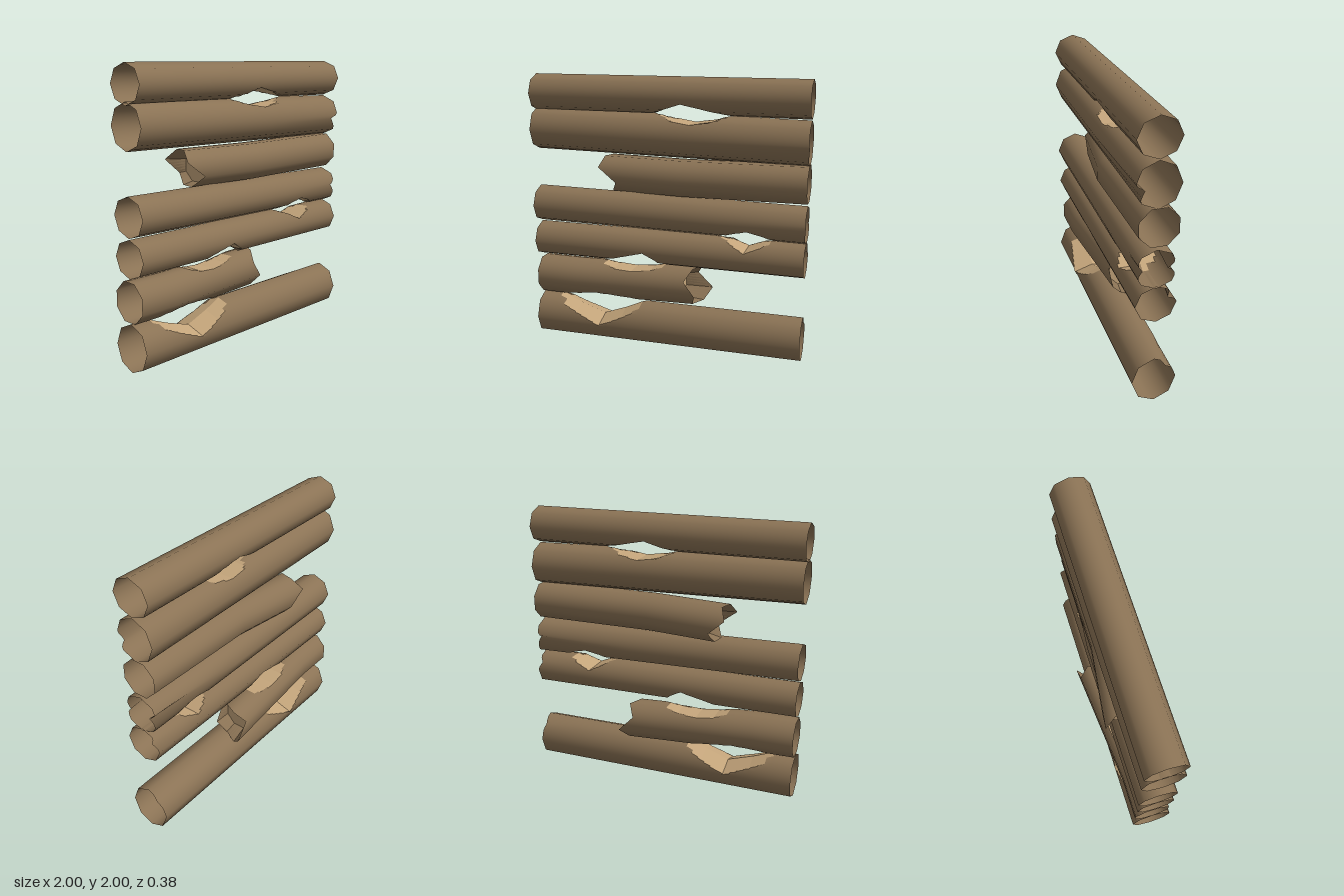
import * as THREE from 'three';

const bark = new THREE.MeshStandardMaterial({ color: 0x8b7355, side: THREE.DoubleSide });
bark.name = 'bark';
const wood = new THREE.MeshStandardMaterial({ color: 0xc4a57b, side: THREE.DoubleSide });
wood.name = 'cutWood';

const SIDES = 8, SUB = 5, N = SIDES * SUB, W = N + 1;
const { degToRad, lerp, clamp } = THREE.MathUtils;

// bite across a log: from the edge height at x0 and x1 to the tip height at xt
function bite(x0, xt, x1, edge, tip, fullness = 0.55) {
  const corners = [x0, (x0 + xt) / 2, xt, (xt + x1) / 2, x1];
  const depth = [0, fullness, 1, fullness, 0];
  const height = (x) => {
    if (x <= x0 || x >= x1) return null;
    const i = corners.findIndex((c) => c >= x) - 1;
    const f = (x - corners[i]) / (corners[i + 1] - corners[i]);
    return lerp(edge, tip, lerp(depth[i], depth[i + 1], f));
  };
  return { corners, height };
}

function makeMesh(name, pos, normals, index, material) {
  let g = new THREE.BufferGeometry();
  g.setAttribute('position', new THREE.Float32BufferAttribute(pos, 3));
  if (normals) g.setAttribute('normal', new THREE.Float32BufferAttribute(normals, 3));
  g.setIndex(index);
  if (!normals) {
    g = g.toNonIndexed();
    g.computeVertexNormals();
  }
  const mesh = new THREE.Mesh(g, material);
  mesh.name = name;
  return mesh;
}

// hollow eight-sided log along x, bitten from above and below, possibly snapped at one end
function makeLog(name, { left, right, ry, rz = 0.142, z = 0.04, top, bottom, crown = 0,
  dents = [], jag, snap = 0, leanFrom = 0, lean = 0 }) {
  const group = new THREE.Group();
  group.name = name;
  const centreY = (x) => lerp(left, right, (x + 1) / 2);
  const centreZ = (x) => z - lean * Math.max(0, snap * (x - leanFrom));

  // octagon outline: angle 0 is up, a quarter turn is the front
  const ring = [];
  for (let j = 0; j <= N; j++) {
    const k = Math.floor(j / SUB), f = (j % SUB) / SUB;
    const a0 = (k + (snap ? 0.5 : 0)) * Math.PI / 4, a1 = a0 + Math.PI / 4;
    ring.push({
      c: lerp(Math.cos(a0), Math.cos(a1), f),
      s: lerp(Math.sin(a0), Math.sin(a1), f),
      a: lerp(a0, a1, f),
      end: snap ? lerp(jag[k % SIDES], jag[(k + 1) % SIDES], f) : 0,
    });
  }

  // surface point, and whether it lies on a cut
  function point(x, p, scale = 1) {
    let r = scale, cut = false;
    for (const d of dents) {
      const off = p.a - degToRad(d.angle);
      const near = Math.max(0, 1 - Math.abs(off) / degToRad(22));
      r -= d.depth * near * clamp((x - d.from) / (1 - d.from), 0, 1);
    }
    let y = centreY(x) + p.c * ry * r;
    const high = top?.height(x) ?? Infinity, low = bottom?.height(x) ?? -Infinity;
    const ceiling = high - crown * Math.abs(p.s);
    if (y > ceiling) { y = ceiling; cut = true; }
    if (y < low) { y = low; cut = true; }
    return { xyz: [x, y, centreZ(x) + p.s * rz * r], cut };
  }

  // cross-sections, including every corner of the bites
  const xs = [...(top?.corners ?? []), ...(bottom?.corners ?? [])];
  for (let i = 0; i <= 40; i++) xs.push(-1 + i * 0.05);
  xs.sort((a, b) => a - b);

  const pos = [], normals = [], cuts = [], px = [], barkIndex = [], cutIndex = [];
  for (const x0 of xs) {
    for (const p of ring) {
      const x = snap > 0 ? Math.min(x0, p.end) : snap < 0 ? Math.max(x0, p.end) : x0;
      const q = point(x, p);
      pos.push(...q.xyz);
      normals.push(0, Math.cos(p.a), Math.sin(p.a));
      cuts.push(q.cut);
      px.push(x);
    }
  }
  for (let i = 0; i < xs.length - 1; i++) {
    for (let j = 0; j < N; j++) {
      const a = i * W + j, b = a + 1, c = b + W, d = a + W;
      if (px[a] === px[d] && px[b] === px[c]) continue;
      const cut = [a, b, c, d].every((v) => cuts[v]);
      (cut ? cutIndex : barkIndex).push(a, b, c, a, c, d);
    }
  }
  group.add(makeMesh('barkTube', pos, normals, barkIndex, bark));
  if (cutIndex.length) group.add(makeMesh('cutFaces', pos, null, cutIndex, wood));

  // splintered end: bark funnel running in to a pale core
  if (snap) {
    const coreX = snap > 0 ? Math.min(...jag) - 0.04 : Math.max(...jag) + 0.04;
    const fp = [], funnel = [], core = [];
    for (const p of ring) fp.push(...point(p.end, p).xyz);
    for (const p of ring) fp.push(...point(coreX, p, 0.84).xyz);
    fp.push(coreX, centreY(coreX), centreZ(coreX));
    for (let j = 0; j < N; j++) {
      const a = j, b = j + 1, c = b + W, d = a + W;
      if (snap > 0) { funnel.push(a, b, c, a, c, d); core.push(d, c, 2 * W); }
      else { funnel.push(a, c, b, a, d, c); core.push(c, d, 2 * W); }
    }
    group.add(makeMesh('splinteredRim', fp, null, funnel, bark));
    group.add(makeMesh('brokenCore', fp, null, core, wood));
  }
  return group;
}

export function createModel() {
  const model = new THREE.Group();
  model.name = 'brokenLogWall';

  model.add(makeLog('topLog', {
    left: 1.87, right: 1.868, ry: 0.132, bottom: bite(-0.13, 0.12, 0.49, 1.73, 1.82),
  }));
  model.add(makeLog('secondLog', {
    left: 1.61, right: 1.575, ry: 0.155, rz: 0.148,
    top: bite(-0.13, 0.18, 0.49, 1.76, 1.68, 0.7),
    dents: [{ angle: 105, depth: 0.4, from: 0.2 }],
  }));
  model.add(makeLog('upperBrokenLog', {
    left: 1.285, right: 1.295, ry: 0.138, rz: 0.14, z: 0.03,
    snap: -1, leanFrom: 0.1, lean: 0.13,
    jag: [-0.49, -0.52, -0.38, -0.43, -0.41, -0.38, -0.5, -0.46],
  }));
  model.add(makeLog('middleLog', {
    left: 1.04, right: 1.01, ry: 0.136, bottom: bite(0.35, 0.6, 0.83, 0.87, 0.96, 0.65),
    dents: [{ angle: 90, depth: 0.35, from: 0.4 }, { angle: 270, depth: 0.5, from: 0.2 }],
  }));
  model.add(makeLog('lowerMiddleLog', {
    left: 0.767, right: 0.757, ry: 0.13, rz: 0.138,
    top: bite(0.36, 0.58, 0.84, 0.895, 0.8, 0.45),
    bottom: bite(-0.53, -0.16, 0.02, 0.62, 0.74),
    dents: [{ angle: 300, depth: 0.35, from: 0.75 }],
  }));
  model.add(makeLog('lowerBrokenLog', {
    left: 0.478, right: 0.457, ry: 0.146, rz: 0.14, z: 0.027,
    snap: 1, leanFrom: -0.7, lean: 0.085,
    jag: [0.18, 0.13, 0.21, 0.18, 0.24, 0.29, 0.18, 0.23],
    top: bite(-0.54, -0.28, 0.0, 0.612, 0.562, 0.75),
    bottom: bite(-0.9, -0.55, -0.15, 0.32, 0.375),
  }));
  model.add(makeLog('bottomLog', {
    left: 0.167, right: 0.167, ry: 0.167, rz: 0.152, crown: 0.05,
    top: bite(-0.88, -0.5, -0.16, 0.34, 0.2),
    dents: [{ angle: 318, depth: 0.25, from: 0.7 }],
  }));
  return model;
}
